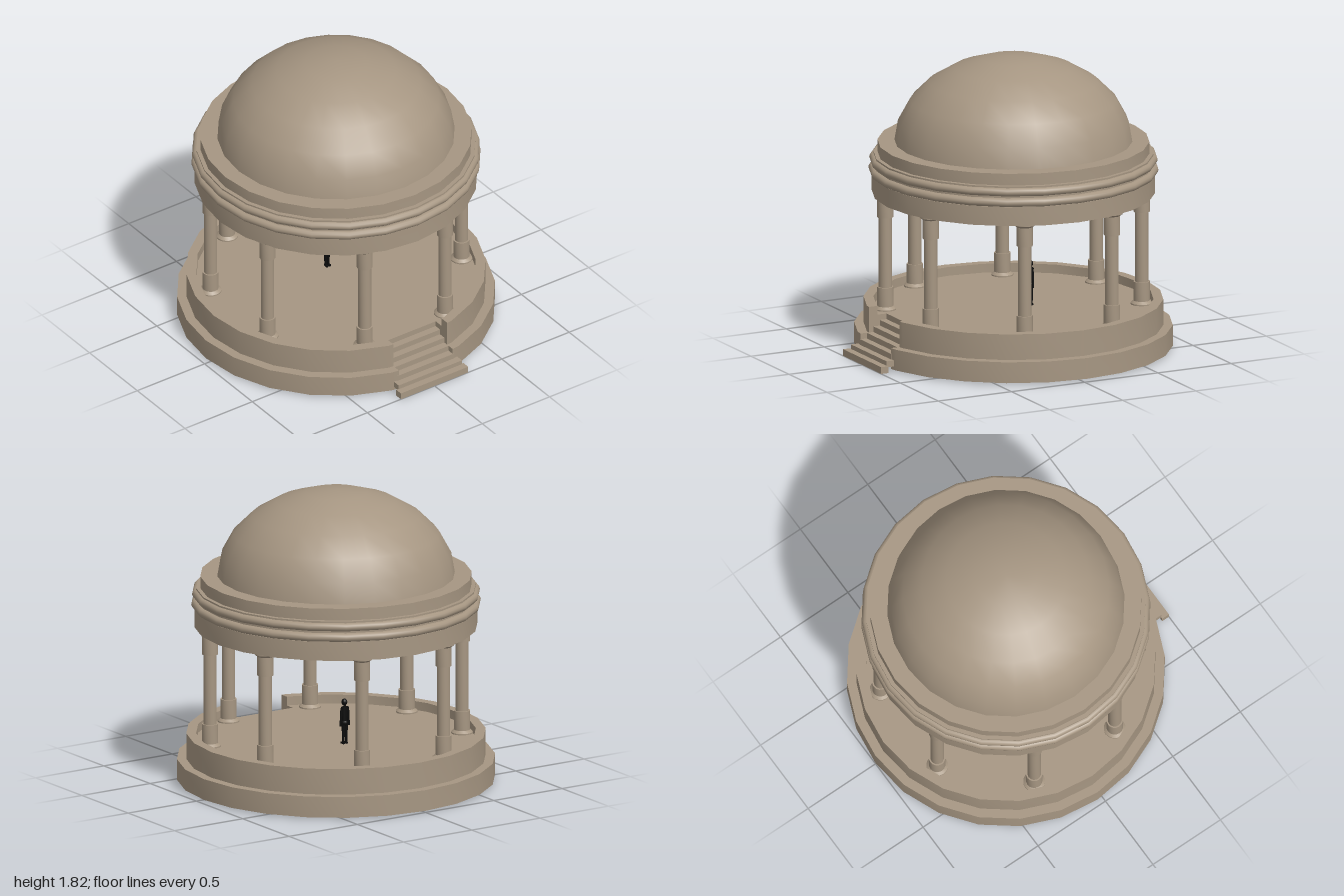
import * as THREE from 'three';
import { toCreasedNormals } from 'three/addons/utils/BufferGeometryUtils.js';

const stone = new THREE.MeshStandardMaterial({ color: 0xa69682 });
stone.name = 'warm stone';
const dark = new THREE.MeshStandardMaterial({ color: 0x0c0c0c });
dark.name = 'black';

const SIDES = 24, CENTER_Z = -0.033, GAP = 0.2;

export function createModel() {
  const model = new THREE.Group();
  model.name = 'domedPavilion';
  const rotunda = new THREE.Group();
  rotunda.name = 'rotunda';
  rotunda.position.z = CENTER_Z;
  model.add(rotunda);

  const add = (parent, name, geometry, material = stone, x = 0, y = 0, z = 0) => {
    const mesh = new THREE.Mesh(geometry, material);
    mesh.name = name;
    mesh.position.set(x, y, z);
    parent.add(mesh);
    return mesh;
  };
  const lathe = (profile, sides) => toCreasedNormals(
    new THREE.LatheGeometry(profile.map(([r, y]) => new THREE.Vector2(r, y)), sides), 0.6);

  // 24-sided outline, open at the front where the stairs cut through
  const openArc = (r) => {
    const step = Math.PI * 2 / SIDES;
    const edge = -r * (1 - GAP / (r * Math.sin(step)) * (1 - Math.cos(step)));
    const pts = [new THREE.Vector2(GAP, edge)];
    for (let k = 1; k < SIDES; k++) {
      pts.push(new THREE.Vector2(r * Math.sin(k * step), -r * Math.cos(k * step)));
    }
    pts.push(new THREE.Vector2(-GAP, edge));
    return pts;
  };
  const slab = (pts, y0, y1) => {
    const g = new THREE.ExtrudeGeometry(new THREE.Shape(pts), { depth: y1 - y0, bevelEnabled: false });
    g.rotateX(-Math.PI / 2).translate(0, y0, 0);
    return toCreasedNormals(g, 0.5);
  };
  const notchedDisc = (r, backZ) => {
    const z = -(backZ - CENTER_Z);
    return [...openArc(r), new THREE.Vector2(-GAP, z), new THREE.Vector2(GAP, z)];
  };

  // Base: lower tier, raised floor and the rim around it
  add(rotunda, 'lowerTier', slab(notchedDisc(0.967, 0.865), 0.01, 0.14));
  add(rotunda, 'floor', slab(notchedDisc(0.855, 0.73), 0.14, 0.245));
  add(rotunda, 'rim', slab([...openArc(0.91), ...openArc(0.85).reverse()], 0.14, 0.3));

  // Stairs: three projecting slabs, then two steps through the rim
  const stairs = new THREE.Group();
  stairs.name = 'stairs';
  model.add(stairs);
  // half width, bottom, top, back, front
  [
    [0.25, 0, 0.042, 0.95, 1.0],
    [0.235, 0.032, 0.07, 0.905, 0.955],
    [0.21, 0.065, 0.105, 0.86, 0.91],
    [0.2, 0.13, 0.175, 0.73, 0.82],
    [0.2, 0.17, 0.21, 0.73, 0.775],
  ].forEach(([w, y0, y1, z0, z1]) => add(stairs, 'step',
    new THREE.BoxGeometry(w * 2, y1 - y0, z1 - z0), stone, 0, (y0 + y1) / 2, (z0 + z1) / 2));

  // Eight columns with matching foot and capital
  const columnGeometry = lathe([
    [0, 0.24], [0.067, 0.24], [0.067, 0.253], [0.05, 0.268], [0.05, 0.387], [0.041, 0.387],
    [0.041, 0.823], [0.05, 0.823], [0.05, 0.942], [0.067, 0.955], [0.067, 0.968], [0, 0.968],
  ], 16);
  for (let i = 0; i < 8; i++) {
    const a = (i + 0.5) * Math.PI / 4;
    add(rotunda, 'column', columnGeometry, stone, Math.sin(a) * 0.78, 0, Math.cos(a) * 0.78);
  }

  // Entablature rings: frieze, two rounded mouldings, parapet
  const ring = (r0, r1, y0, y1) =>
    lathe([[r1, y0], [r1, y1], [r0, y1], [r0, y0], [r1, y0]], SIDES);
  const moulding = (r0, r1, y0, y1) => {
    const h = (y1 - y0) / 2, mid = (y0 + y1) / 2, pts = [];
    for (let i = 0; i <= 6; i++) {
      const a = -Math.PI / 2 + i * Math.PI / 6;
      pts.push([r1 - h + h * Math.cos(a), mid + h * Math.sin(a)]);
    }
    for (let i = 0; i <= 6; i++) {
      const a = Math.PI / 2 - i * Math.PI / 6;
      pts.push([r0 + h - h * Math.cos(a), mid + h * Math.sin(a)]);
    }
    return lathe([...pts, pts[0]], SIDES);
  };
  add(rotunda, 'frieze', ring(0.7, 0.86, 0.965, 1.083));
  add(rotunda, 'lowerMoulding', moulding(0.68, 0.88, 1.083, 1.137));
  add(rotunda, 'mouldingCore', ring(0.71, 0.85, 1.13, 1.21));
  add(rotunda, 'upperMoulding', moulding(0.685, 0.875, 1.148, 1.2));
  add(rotunda, 'parapet', ring(0.7, 0.825, 1.198, 1.283));

  // Flattened dome closed by a flat ceiling
  const domeProfile = [];
  for (let i = 0; i <= 6; i++) {
    const a = i * Math.PI / 12;
    domeProfile.push([i === 6 ? 0 : 0.725 * Math.cos(a), 1.265 + 0.55 * Math.sin(a)]);
  }
  add(rotunda, 'dome', lathe(domeProfile, SIDES));
  add(rotunda, 'ceiling', new THREE.CircleGeometry(0.725, SIDES).rotateX(Math.PI / 2), stone, 0, 1.265, 0);

  // Small standing figure
  const figure = new THREE.Group();
  figure.name = 'standingFigure';
  figure.position.set(0.012, 0.245, -0.145);
  model.add(figure);
  add(figure, 'head', new THREE.SphereGeometry(0.018, 12, 8), dark, 0, 0.26, 0.004).scale.y = 1.2;
  add(figure, 'neck', new THREE.CylinderGeometry(0.008, 0.009, 0.03, 8), dark, 0, 0.235, 0);
  add(figure, 'torso', new THREE.CylinderGeometry(0.024, 0.019, 0.1, 10), dark, 0, 0.182, 0).scale.z = 0.7;
  add(figure, 'hips', new THREE.SphereGeometry(0.022, 10, 8), dark, 0, 0.132, 0).scale.z = 0.8;
  for (const s of [-1, 1]) {
    add(figure, 'leg', new THREE.CylinderGeometry(0.012, 0.007, 0.128, 8), dark, s * 0.01, 0.068, 0);
    add(figure, 'foot', new THREE.BoxGeometry(0.013, 0.01, 0.032), dark, s * 0.01, 0.005, 0.006);
    add(figure, 'arm', new THREE.CylinderGeometry(0.008, 0.006, 0.112, 8), dark, s * 0.027, 0.168, 0)
      .rotation.z = s * 0.08;
  }
  return model;
}
